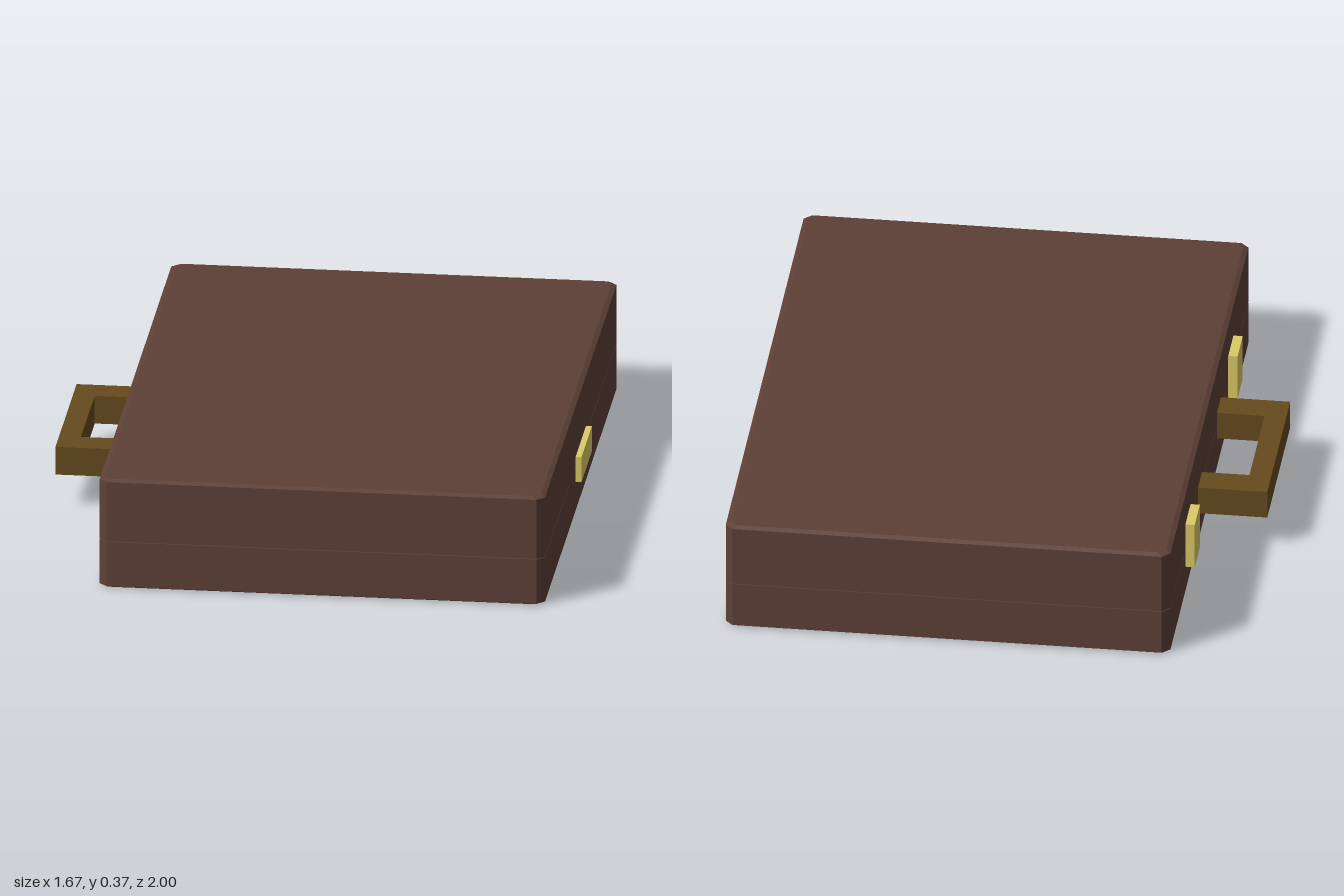
import * as THREE from 'three';

const paint = (color) => new THREE.MeshStandardMaterial({ color, flatShading: true, side: THREE.DoubleSide });
const leather = paint(0x5d4037);
const handleLeather = paint(0x654a1e);
const brass = paint(0xdccb68);

// Case footprint
const X0 = -0.615, X1 = 0.815, Z = 1, CUT = 0.025;

// Octagonal outline with cut corners, drawn inset from the footprint
function outline(y, inset) {
  const a = X0 + inset, b = X1 - inset, z = Z - inset;
  return [
    [a + CUT, z], [b - CUT, z], [b, z - CUT], [b, -z + CUT],
    [b - CUT, -z], [a + CUT, -z], [a, -z + CUT], [a, z - CUT],
  ].map(([x, zz]) => [x, y, zz]);
}

// Closed shell stacked from [height, inset] rings, bottom to top
function shell(name, levels) {
  const rings = levels.map(([y, inset]) => outline(y, inset));
  const n = 8, pos = [];
  const tri = (...corners) => corners.forEach((c) => pos.push(...c));
  for (let r = 0; r < rings.length - 1; r++) {
    const lo = rings[r], hi = rings[r + 1];
    for (let i = 0; i < n; i++) {
      const j = (i + 1) % n;
      tri(lo[i], lo[j], hi[j]);
      tri(lo[i], hi[j], hi[i]);
    }
  }
  const bottom = rings[0], top = rings[rings.length - 1];
  for (let i = 1; i < n - 1; i++) {
    tri(top[0], top[i], top[i + 1]);
    tri(bottom[0], bottom[i + 1], bottom[i]);
  }
  const geo = new THREE.BufferGeometry();
  geo.setAttribute('position', new THREE.Float32BufferAttribute(pos, 3));
  geo.computeVertexNormals();
  const mesh = new THREE.Mesh(geo, leather);
  mesh.name = name;
  return mesh;
}

// Box given by its extents on each axis
function block(name, material, [x0, x1], [y0, y1], [z0, z1]) {
  const mesh = new THREE.Mesh(new THREE.BoxGeometry(x1 - x0, y1 - y0, z1 - z0), material);
  mesh.position.set((x0 + x1) / 2, (y0 + y1) / 2, (z0 + z1) / 2);
  mesh.name = name;
  return mesh;
}

export function createModel() {
  const briefcase = new THREE.Group();
  briefcase.name = 'briefcase';

  // Two halves meeting at a fine seam
  briefcase.add(shell('lowerCase', [[0, 0.015], [0.007, 0], [0.158, 0]]));
  briefcase.add(shell('lid', [[0.16, 0], [0.361, 0], [0.368, 0.015]]));

  // U-shaped handle
  const u = new THREE.Shape([
    [-0.61, -0.288], [-0.61, -0.188], [-0.768, -0.188], [-0.768, 0.188],
    [-0.61, 0.188], [-0.61, 0.288], [-0.838, 0.288], [-0.838, -0.288],
  ].map(([x, z]) => new THREE.Vector2(x, z)));
  const handleGeo = new THREE.ExtrudeGeometry(u, { depth: 0.094, bevelEnabled: false });
  handleGeo.rotateX(-Math.PI / 2);
  const handle = new THREE.Mesh(handleGeo, handleLeather);
  handle.position.y = 0.112;
  handle.name = 'handle';
  briefcase.add(handle);

  // Latches either side of the handle
  for (const s of [-1, 1]) {
    const latch = block(s > 0 ? 'frontLatch' : 'backLatch', brass, [-0.645, -0.605], [0.096, 0.252], [-0.065, 0.065]);
    latch.position.z = s * 0.537;
    briefcase.add(latch);
  }

  // Hinge plate across the seam on the opposite side
  briefcase.add(block('hinge', brass, [0.805, 0.834], [0.105, 0.19], [-0.142, 0.142]));

  return briefcase;
}
